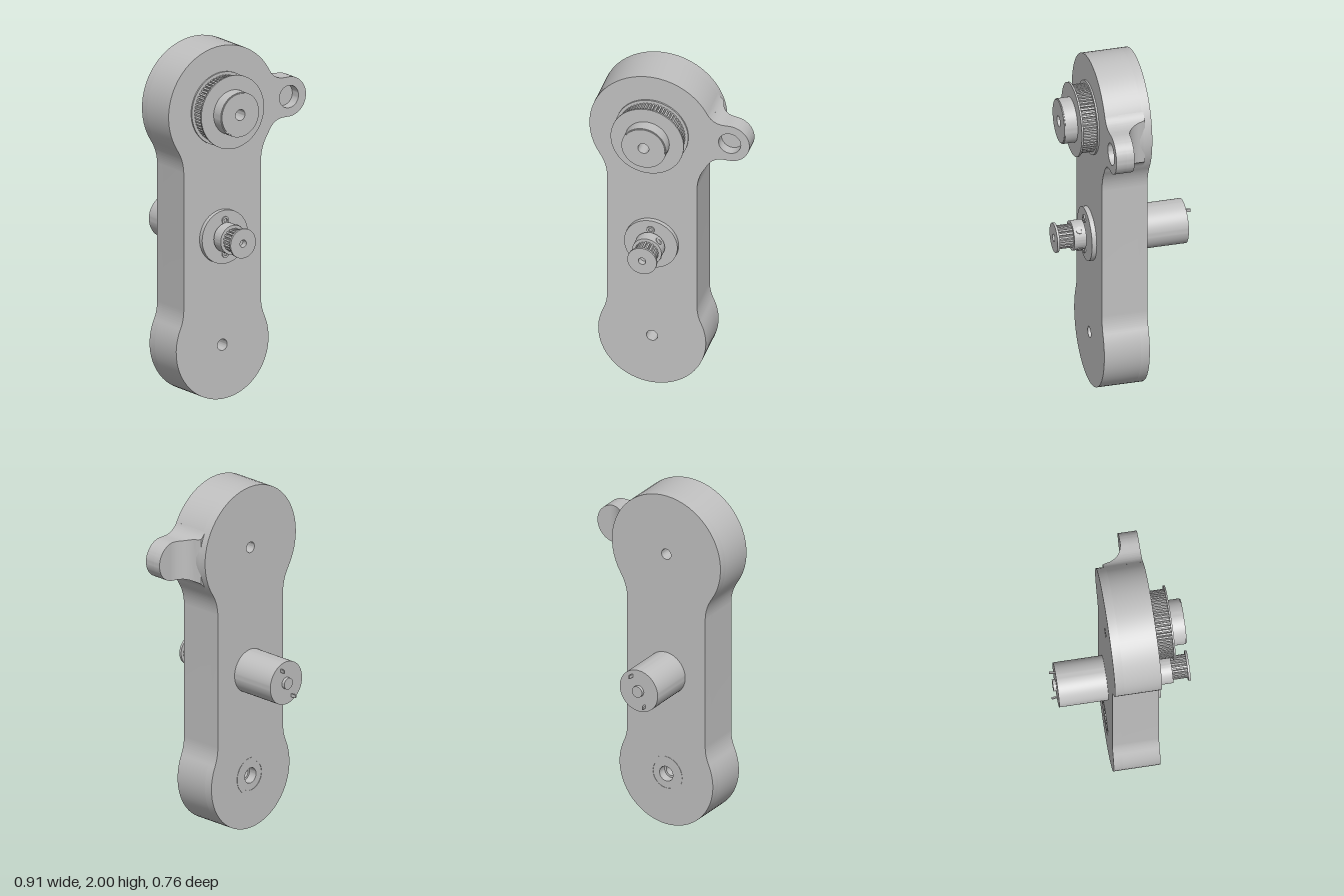
import * as THREE from 'three';
import { toCreasedNormals } from 'three/addons/utils/BufferGeometryUtils.js';

const PI = Math.PI;
const CX = -0.1, TOP = 1.645, LOW = 0.31, MID = 0.925;
const FRONT = 0.178, BACK = -0.08;

export function createModel() {
  const grey = new THREE.MeshStandardMaterial({ color: 0xc0c0c0 });
  const model = new THREE.Group();

  const add = (name, geometry, parent = model) => {
    const mesh = new THREE.Mesh(geometry, grey);
    mesh.name = name;
    parent.add(mesh);
    return mesh;
  };
  const group = (name, y) => {
    const g = new THREE.Group();
    g.name = name;
    g.position.set(CX, y, 0);
    model.add(g);
    return g;
  };
  const hole = (shape, x, y, r) => {
    shape.holes.push(new THREE.Path().absarc(x, y, r, 0, 2 * PI, true));
    return shape;
  };
  // Slab of a shape between two depths, smooth on its curves
  const slab = (shape, z0, z1, curveSegments = 20, crease = 0.5) => {
    const g = new THREE.ExtrudeGeometry(shape, { depth: z1 - z0, bevelEnabled: false, curveSegments });
    g.translate(0, 0, z0);
    return toCreasedNormals(g, crease);
  };
  const disc = (r, z0, z1, bore = 0, segments = 40) => {
    const s = new THREE.Shape().absarc(0, 0, r, 0, 2 * PI, false);
    if (bore) hole(s, 0, 0, bore);
    return slab(s, z0, z1, segments);
  };
  // Belt wheel rim with trapezoid teeth
  const toothed = (n, r, depth, z0, z1, bore) => {
    const pts = [];
    for (let i = 0; i < n; i++) {
      for (const [f, rad] of [[0.0, r], [0.5, r], [0.6, r - depth], [0.9, r - depth]]) {
        const a = (i + f) / n * 2 * PI;
        pts.push(new THREE.Vector2(rad * Math.cos(a), rad * Math.sin(a)));
      }
    }
    return slab(hole(new THREE.Shape(pts), 0, 0, bore), z0, z1, 20, 0.2);
  };

  // Arm: two round ends blended into a straight waist
  const arm = (lowBore) => {
    const R = 0.25, cx = 0.505, rT = 0.355, rL = 0.305;
    const dT = Math.sqrt((rT + R) ** 2 - cx ** 2), dL = Math.sqrt((rL + R) ** 2 - cx ** 2);
    const aT = Math.atan2(dT, cx), aL = Math.atan2(dL, cx);
    const s = new THREE.Shape();
    s.absarc(0, LOW, rL, PI - aL, 2 * PI + aL, false);
    s.absarc(cx, LOW + dL, R, PI + aL, PI, true);
    s.absarc(cx, TOP - dT, R, PI, PI - aT, true);
    s.absarc(0, TOP, rT, -aT, PI + aT, false);
    s.absarc(-cx, TOP - dT, R, aT, 0, true);
    s.absarc(-cx, LOW + dL, R, 0, -aL, true);
    hole(s, 0, LOW, lowBore);
    return hole(s, 0, TOP, 0.031);
  };
  const armGroup = group('arm', 0);
  add('armFront', slab(arm(0.032), -0.03, FRONT), armGroup);
  add('armBack', slab(arm(0.044), BACK, -0.03), armGroup);
  const bearing = add('bearingFace', disc(0.105, BACK - 0.002, BACK + 0.01, 0.085), armGroup);
  bearing.position.y = LOW;

  // Side lug with a blind hole
  const lug = group('lug', TOP);
  const earX = 0.44, earR = 0.112, fil = 0.1, fx = 0.4026, fy = earR + fil;
  const fa = PI - Math.atan2(fy, fx);
  const ear = () => {
    const s = new THREE.Shape();
    s.moveTo(0.2, -0.165);
    s.absarc(fx, -fy, fil, fa, PI / 2, true);
    s.absarc(earX, 0, earR, -PI / 2, PI / 2, false);
    s.absarc(fx, fy, fil, -PI / 2, -fa, true);
    s.lineTo(0.2, 0.165);
    return s;
  };
  add('lugFront', slab(hole(ear(), earX, 0, 0.063), 0.118, FRONT), lug);
  add('lugBack', slab(ear(), 0.075, 0.118), lug);

  // Scooped web behind the lug
  const pos = [], idx = [], N = 24;
  for (let i = 0; i <= N; i++) {
    const x = 0.314 + (0.462 - 0.314) * i / N;
    let h = earR;
    if (x < fx) h = fy - Math.sqrt(fil ** 2 - (x - fx) ** 2);
    else if (x > earX) h = Math.sqrt(earR ** 2 - (x - earX) ** 2);
    const u = Math.min(0.115, 0.465 - x);
    const zb = -0.04 + Math.sqrt(0.115 ** 2 - u ** 2);
    pos.push(x, h, zb, x, h, 0.1, x, -h, 0.1, x, -h, zb);
    if (i < N) for (let j = 0; j < 4; j++) {
      const a = i * 4 + j, b = i * 4 + (j + 1) % 4;
      idx.push(a, b, b + 4, a, b + 4, a + 4);
    }
  }
  const web = new THREE.BufferGeometry();
  web.setAttribute('position', new THREE.Float32BufferAttribute(pos, 3));
  web.setIndex(idx);
  add('lugWeb', toCreasedNormals(web, 0.6), lug);

  // Large belt wheel
  const wheel = group('largePulley', TOP);
  add('rearFlange', disc(0.207, FRONT, 0.187, 0.031), wheel);
  add('wheelTeeth', toothed(60, 0.19, 0.014, 0.187, 0.268, 0.031), wheel);
  add('frontFlange', disc(0.207, 0.268, 0.278, 0.031), wheel);
  add('wheelHub', disc(0.126, 0.278, 0.347, 0.031), wheel);
  add('wheelHubRim', disc(0.121, 0.347, 0.352, 0.031), wheel);

  // Motor can, end boss and terminals behind the arm
  const motor = group('motor', MID);
  add('motorCan', disc(0.124, -0.352, BACK), motor);
  add('endBoss', disc(0.033, -0.37, -0.352), motor);
  for (const s of [-1, 1]) {
    const t = add('terminal', new THREE.BoxGeometry(0.008, 0.018, 0.035), motor);
    t.position.set(s * 0.042, s * 0.083, -0.365);
    t.rotation.y = -s * 0.15;
  }

  // Motor mounting flange with its screws
  add('mountFlange', disc(0.151, FRONT, 0.204), motor);
  add('shaftCollar', disc(0.03, 0.204, 0.22), motor);
  for (const s of [-1, 1]) {
    const screw = add('mountScrew', disc(0.022, 0.2, 0.212, 0.011, 16), motor);
    screw.position.y = s * 0.094;
  }

  // Small toothed pinion on the shaft
  add('shaft', disc(0.0215, 0.2, 0.345), motor);
  add('pinionHub', disc(0.083, 0.216, 0.284, 0.021), motor);
  add('pinionTeeth', toothed(20, 0.066, 0.011, 0.284, 0.367, 0.021), motor);
  add('pinionFlange', disc(0.083, 0.367, 0.38, 0.021), motor);
  for (const a of [-PI / 4, PI / 4]) {
    const g = disc(0.02, 0.07, 0.086, 0.01, 16);
    g.rotateY(PI / 2);
    g.rotateZ(a);
    g.translate(0, 0, 0.25);
    add('setScrew', g, motor);
  }

  return model;
}
